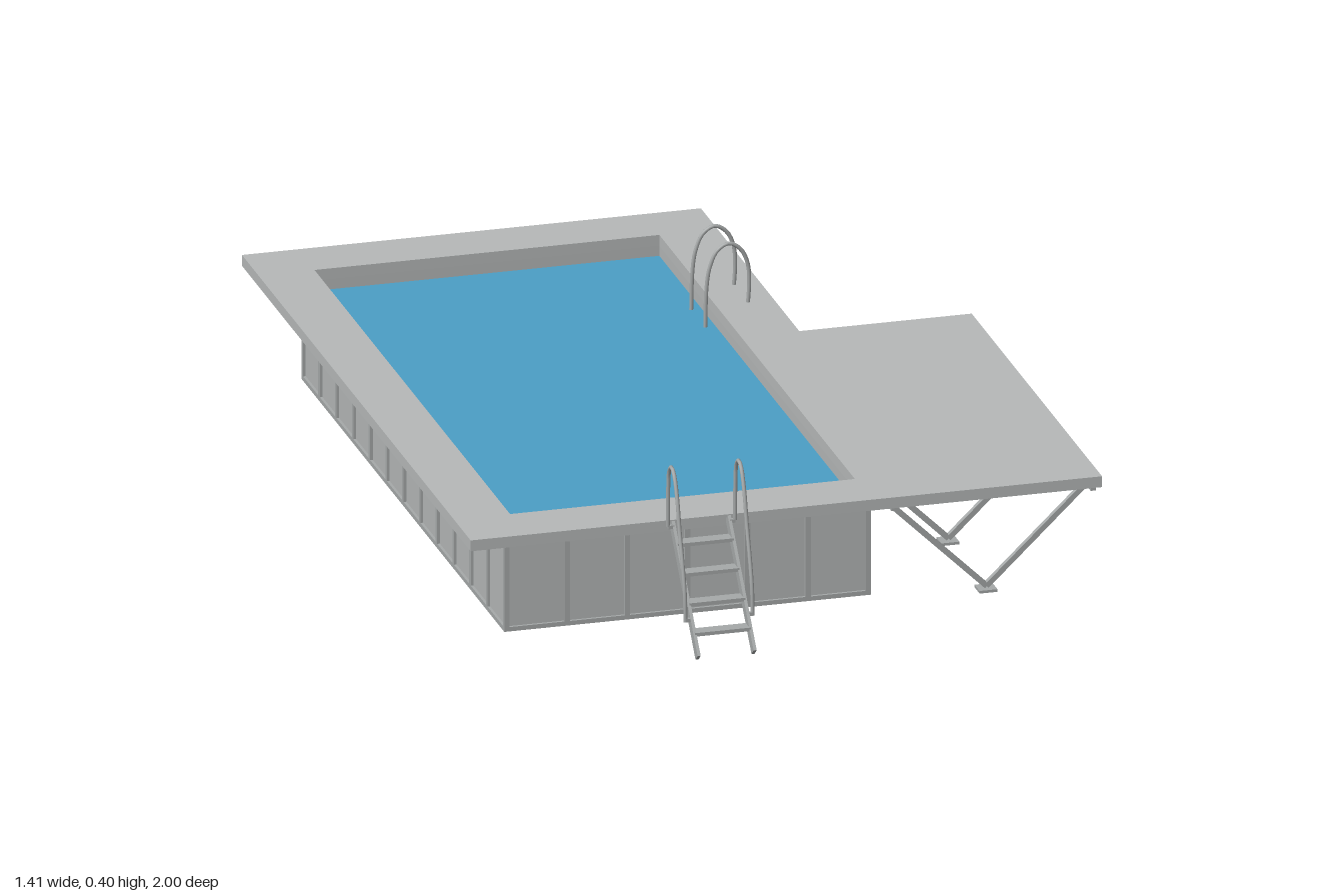
import * as THREE from 'three';

const mat = (name, color, side = THREE.FrontSide) => {
  const m = new THREE.MeshStandardMaterial({ color, side });
  m.name = name;
  return m;
};

export function createModel() {
  const root = new THREE.Group();
  root.name = 'raisedPool';
  const deckGrey = mat('deck grey', 0xb6b9b9);
  const wallGrey = mat('wall grey', 0xb4b7b7);
  const steel = mat('steel grey', 0xa6a9a9);
  const waterBlue = mat('water blue', 0x4c9fc6);
  const floorBlue = mat('floor blue', 0x336a9c);

  const group = (name) => {
    const g = new THREE.Group();
    g.name = name;
    root.add(g);
    return g;
  };
  const add = (parent, name, geo, material) => {
    const m = new THREE.Mesh(geo, material);
    m.name = name;
    parent.add(m);
    return m;
  };
  // box given by its minimum and maximum corners
  const box = (parent, name, a, b, material) => {
    const m = add(parent, name, new THREE.BoxGeometry(b[0] - a[0], b[1] - a[1], b[2] - a[2]), material);
    m.position.set((a[0] + b[0]) / 2, (a[1] + b[1]) / 2, (a[2] + b[2]) / 2);
    return m;
  };
  // rectangular bar running between two points
  const bar = (parent, name, a, b, w, h = w, material = steel) => {
    const p = new THREE.Vector3(...a), q = new THREE.Vector3(...b);
    const m = add(parent, name, new THREE.BoxGeometry(w, h, p.distanceTo(q)), material);
    m.position.copy(p).add(q).multiplyScalar(0.5);
    m.lookAt(q);
    return m;
  };
  // round rail through points
  const rail = (parent, name, pts, r) => {
    const curve = new THREE.CatmullRomCurve3(pts.map((p) => new THREE.Vector3(...p)));
    return add(parent, name, new THREE.TubeGeometry(curve, 36, r, 8), steel);
  };
  // horizontal slab from an x,z outline and a rectangular opening
  const slab = (parent, name, outline, [x0, x1, z0, z1], y, depth, material) => {
    const shape = new THREE.Shape(outline.map(([x, z]) => new THREE.Vector2(x, -z)));
    shape.holes.push(new THREE.Path([[x0, z0], [x0, z1], [x1, z1], [x1, z0]].map(([x, z]) => new THREE.Vector2(x, -z))));
    const geo = new THREE.ExtrudeGeometry(shape, { depth, bevelEnabled: false });
    geo.rotateX(-Math.PI / 2).translate(0, y, 0);
    return add(parent, name, geo, material);
  };

  // deck with pool opening and side platform
  const deck = group('deck');
  slab(deck, 'deckSlab', [[-0.705, -1], [0.32, -1], [0.32, -0.23], [0.705, -0.23], [0.705, 0.79], [-0.705, 0.79]],
    [-0.58, 0.19, -0.87, 0.66], 0.232, 0.025, deckGrey);

  // tank walls, water and floor
  const X0 = -0.596, X1 = 0.211, Z0 = -0.889, Z1 = 0.686, WALL = 0.232;
  const tank = group('tank');
  slab(tank, 'tankWalls', [[X0, Z0], [X1, Z0], [X1, Z1], [X0, Z1]],
    [-0.58, 0.19, -0.87, 0.66], 0.003, WALL - 0.003, wallGrey);
  box(tank, 'water', [-0.58, 0.2, -0.87], [0.19, 0.209, 0.66], waterBlue);
  box(tank, 'floor', [X0 + 0.006, 0.001, Z0 + 0.006], [X1 - 0.006, 0.009, Z1 - 0.006], floorBlue);

  // wall frame: bottom and top rails, posts
  const frame = group('wallFrame');
  const T = 0.006;
  for (const [y0, y1] of [[0, 0.01], [WALL - 0.012, WALL]]) {
    for (const x of [X0, X1]) box(frame, 'sideRail', [x - T, y0, Z0 - T], [x + T, y1, Z1 + T], steel);
    for (const z of [Z0, Z1]) box(frame, 'endRail', [X0, y0, z - T], [X1, y1, z + T], steel);
  }
  for (let i = 0; i <= 6; i++) {
    const x = X0 + (X1 - X0) * i / 6;
    for (const z of [Z0, Z1]) box(frame, 'endPost', [x - T, 0.005, z - T], [x + T, WALL, z + T], steel);
  }
  for (let i = 1; i < 12; i++) {
    const z = Z0 + (Z1 - Z0) * i / 12;
    for (const x of [X0, X1]) box(frame, 'sidePost', [x - T, 0.005, z - T], [x + T, WALL, z + T], steel);
  }

  // struts under the overhanging deck
  const struts = group('deckStruts');
  const strut = (x, z, dx, dz) => {
    bar(struts, 'strut', [x, 0.195, z], [x + dx * 0.058, 0.232, z + dz * 0.058], 0.008);
    bar(struts, 'strutArm', [x, 0.228, z], [x + dx * 0.075, 0.228, z + dz * 0.075], 0.008);
  };
  for (const x of [-0.563, -0.318, -0.072, 0.175]) {
    strut(x, Z1, 0, 1);
    strut(x, Z0, 0, -1);
  }
  for (let i = 0; i < 7; i++) {
    const z = -0.855 + i * 0.25;
    strut(X0, z, -1, 0);
    if (i < 3) strut(X1, z, 1, 0);
  }

  // platform supports: V legs, cross beams and bracing
  const support = group('platformSupport');
  const frames = [0.73, 0.432, 0.134, -0.165];
  frames.forEach((z, i) => {
    bar(support, 'crossBeam', [0.215, 0.225, z], [0.695, 0.225, z], 0.012);
    bar(support, 'innerLeg', [0.245, 0.222, z], [0.463, 0.01, z], 0.012);
    bar(support, 'outerLeg', [0.685, 0.222, z], [0.463, 0.01, z], 0.012);
    box(support, 'footPlate', [0.443, 0, z - 0.02], [0.483, 0.006, z + 0.02], steel);
    if (i < 3) {
      const n = frames[i + 1];
      bar(support, 'diagonalBrace', [0.25, 0.225, z], [0.685, 0.225, n], 0.012, 0.01);
      bar(support, 'joist', [0.22, 0.226, (z + n) / 2], [0.695, 0.226, (z + n) / 2], 0.012);
    }
  });
  for (const x of [0.245, 0.69]) bar(support, 'longBeam', [x, 0.226, -0.215], [x, 0.226, 0.775], 0.012);

  // front ladder
  const ladder = group('frontLadder');
  const zAt = (y) => 0.795 + (0.25 - y) * 0.86;
  for (const x of [-0.256, -0.131]) {
    bar(ladder, 'stringer', [x, 0.252, zAt(0.252)], [x, 0.016, zAt(0.016)], 0.007, 0.022);
  }
  for (const y of [0.06, 0.112, 0.164, 0.216]) {
    box(ladder, 'tread', [-0.256, y - 0.004, zAt(y) - 0.015], [-0.131, y + 0.004, zAt(y) + 0.015], steel);
  }
  for (const x of [-0.269, -0.119]) {
    rail(ladder, 'handrail', [[x, 0.08, 0.943], [x, 0.14, 0.938], [x, 0.2, 0.922], [x, 0.27, 0.898], [x, 0.34, 0.878],
      [x, 0.385, 0.855], [x, 0.396, 0.835], [x, 0.38, 0.815], [x, 0.34, 0.808], [x, 0.25, 0.806]], 0.0045);
    const inner = x < -0.2 ? -0.256 : -0.131;
    for (const [y, z] of [[0.084, 0.943], [0.248, 0.806]]) bar(ladder, 'railBracket', [x, y, z], [inner, y, z], 0.008);
  }

  // grab rails beside the water
  const grab = group('grabRails');
  for (const z of [-0.54, -0.43]) {
    rail(grab, 'grabRail', [[0.262, 0.25, z], [0.265, 0.3, z], [0.262, 0.345, z], [0.246, 0.38, z], [0.22, 0.396, z],
      [0.194, 0.382, z], [0.177, 0.345, z], [0.17, 0.3, z], [0.167, 0.205, z]], 0.0045);
  }
  return root;
}
